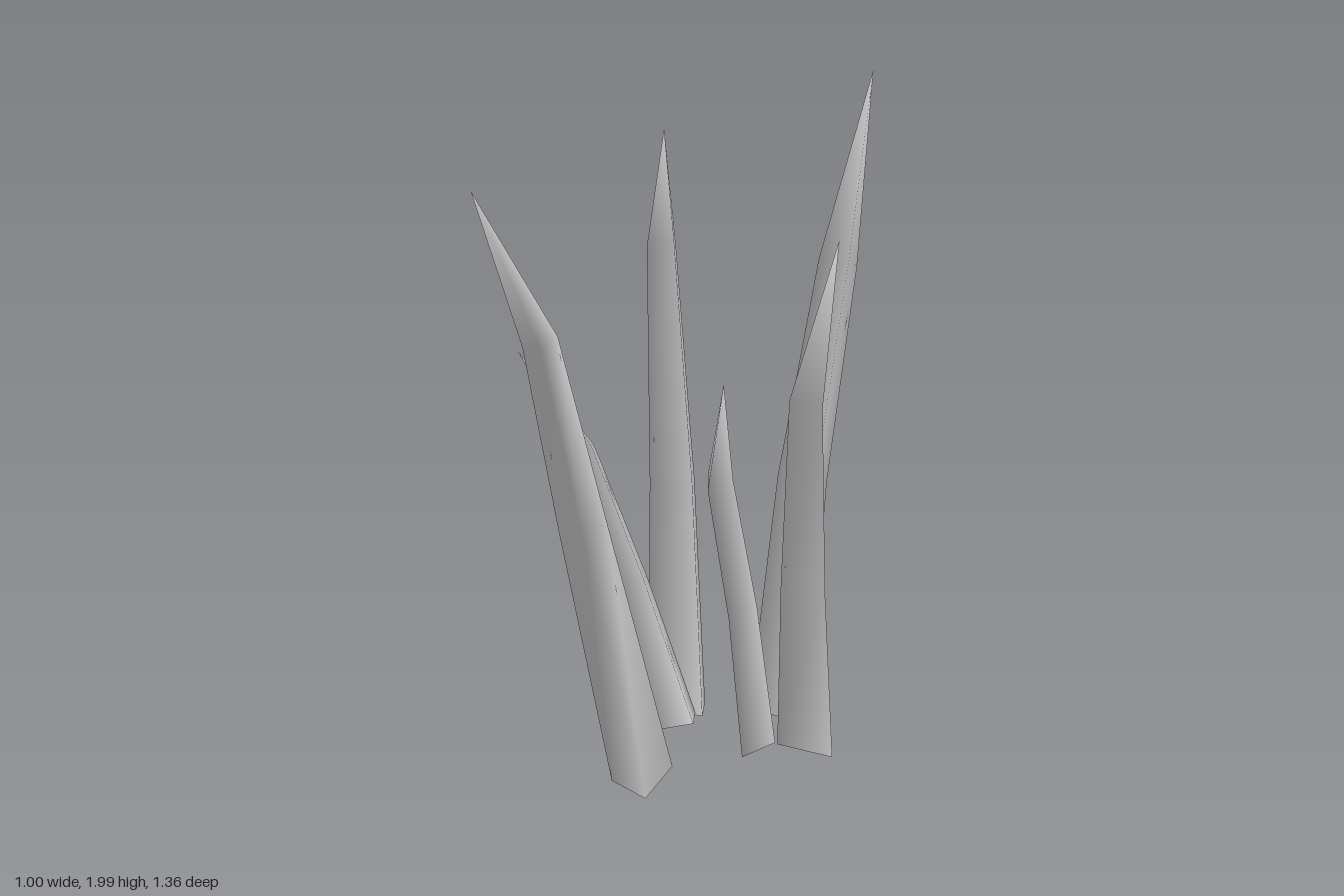
import * as THREE from 'three';

// Each blade: centre line from base to tip, radius of the three rings,
// and the compass angle (degrees, x towards z) of its first corner.
const BLADES = [
  { name: 'backBlade', angle: -75, radii: [0.105, 0.088, 0.07],
    path: [[0.143, 0.127, -0.143], [0.135, 0.8, -0.287], [0.15, 1.43, -0.465], [0.14, 2, -0.68]] },
  { name: 'backRightBlade', angle: -90, radii: [0.108, 0.085, 0.055],
    path: [[-0.123, 0.128, -0.027], [-0.178, 0.8, -0.08], [-0.258, 1.48, -0.137], [-0.33, 1.82, -0.24]] },
  { name: 'rightBlade', angle: 149, radii: [0.084, 0.06, 0.037],
    path: [[-0.038, 0.15, 0.132], [-0.17, 0.55, 0.16], [-0.315, 0.92, 0.185], [-0.5, 1.19, 0.255]] },
  { name: 'frontLeftBlade', angle: 90, radii: [0.061, 0.05, 0.042],
    path: [[0.198, 0.128, 0.127], [0.235, 0.55, 0.27], [0.27, 0.92, 0.435], [0.395, 1.19, 0.605]] },
  { name: 'frontBlade', angle: 173, radii: [0.1, 0.075, 0.055],
    path: [[-0.053, 0.025, 0.297], [-0.135, 0.75, 0.45], [-0.19, 1.25, 0.55], [-0.3, 1.64, 0.68]] },
  { name: 'leftBlade', angle: 27, radii: [0.096, 0.075, 0.055],
    path: [[0.333, 0.13, 0.035], [0.362, 0.6, 0.115], [0.395, 1.1, 0.175], [0.5, 1.52, 0.225]] },
];

// Open three-sided tapering tube that closes in a point
function bladeGeometry({ path, radii, angle }) {
  const pts = path.map((p) => new THREE.Vector3(...p));
  const up = new THREE.Vector3(0, 1, 0);
  const positions = [];
  const index = [];
  radii.forEach((r, i) => {
    const along = pts[i + 1].clone().sub(pts[Math.max(i - 1, 0)]).normalize();
    const tilt = new THREE.Quaternion().setFromUnitVectors(up, along);
    for (let k = 0; k < 3; k++) {
      const a = THREE.MathUtils.degToRad(angle + k * 120);
      const corner = new THREE.Vector3(Math.cos(a) * r, 0, Math.sin(a) * r);
      positions.push(...corner.applyQuaternion(tilt).add(pts[i]).toArray());
    }
  });
  positions.push(...path[3]);
  const tip = radii.length * 3;
  for (let i = 0; i < radii.length; i++) {
    for (let k = 0; k < 3; k++) {
      const a = i * 3 + k;
      const b = i * 3 + (k + 1) % 3;
      if (i === radii.length - 1) index.push(a, tip, b);
      else index.push(a, a + 3, b, b, a + 3, b + 3);
    }
  }
  const geometry = new THREE.BufferGeometry();
  geometry.setAttribute('position', new THREE.Float32BufferAttribute(positions, 3));
  geometry.setIndex(index);
  geometry.computeVertexNormals();
  return geometry;
}

export function createModel() {
  const group = new THREE.Group();
  group.name = 'grassTuft';
  const grey = new THREE.MeshStandardMaterial({ color: 0xc6c6c6, side: THREE.DoubleSide });
  grey.name = 'light grey';
  for (const blade of BLADES) {
    const mesh = new THREE.Mesh(bladeGeometry(blade), grey);
    mesh.name = blade.name;
    group.add(mesh);
  }
  return group;
}
